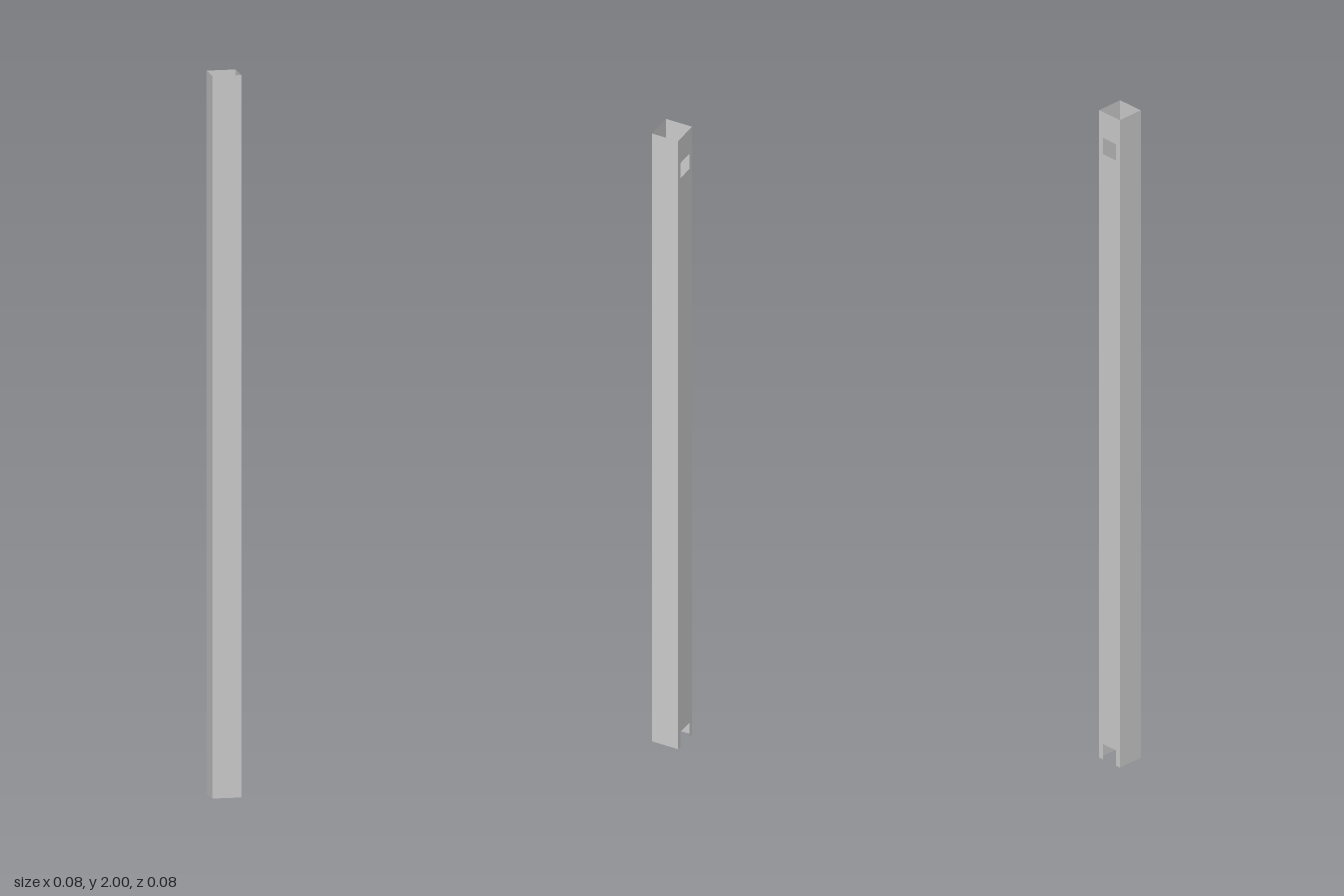
import * as THREE from 'three';

const HALF = 0.04;     // half width of the square post
const HEIGHT = 2;
const CUT = 0.025;     // half width of the openings

// Thin wall outline; the back wall gets a notch at the foot and a window near the top
function wallShape(withOpenings) {
  const shape = new THREE.Shape();
  shape.moveTo(-HALF, 0);
  if (withOpenings) {
    shape.lineTo(-CUT, 0);
    shape.lineTo(-CUT, 0.048);
    shape.lineTo(CUT, 0.048);
    shape.lineTo(CUT, 0);
  }
  shape.lineTo(HALF, 0);
  shape.lineTo(HALF, HEIGHT);
  shape.lineTo(-HALF, HEIGHT);
  shape.closePath();

  if (withOpenings) {
    const hole = new THREE.Path();
    hole.moveTo(-CUT, 1.87);
    hole.lineTo(-CUT, 1.92);
    hole.lineTo(CUT, 1.92);
    hole.lineTo(CUT, 1.87);
    hole.closePath();
    shape.holes.push(hole);
  }
  return shape;
}

export function createModel() {
  const group = new THREE.Group();
  group.name = 'hollowPost';
  const material = new THREE.MeshStandardMaterial({ color: 0xcccccc, side: THREE.DoubleSide });

  // Four sheet walls around an open-ended square tube
  ['frontWall', 'leftWall', 'backWall', 'rightWall'].forEach((name, i) => {
    const geometry = new THREE.ShapeGeometry(wallShape(name === 'backWall'));
    geometry.translate(0, 0, HALF);
    geometry.rotateY(i * Math.PI / 2);
    const wall = new THREE.Mesh(geometry, material);
    wall.name = name;
    group.add(wall);
  });
  return group;
}
